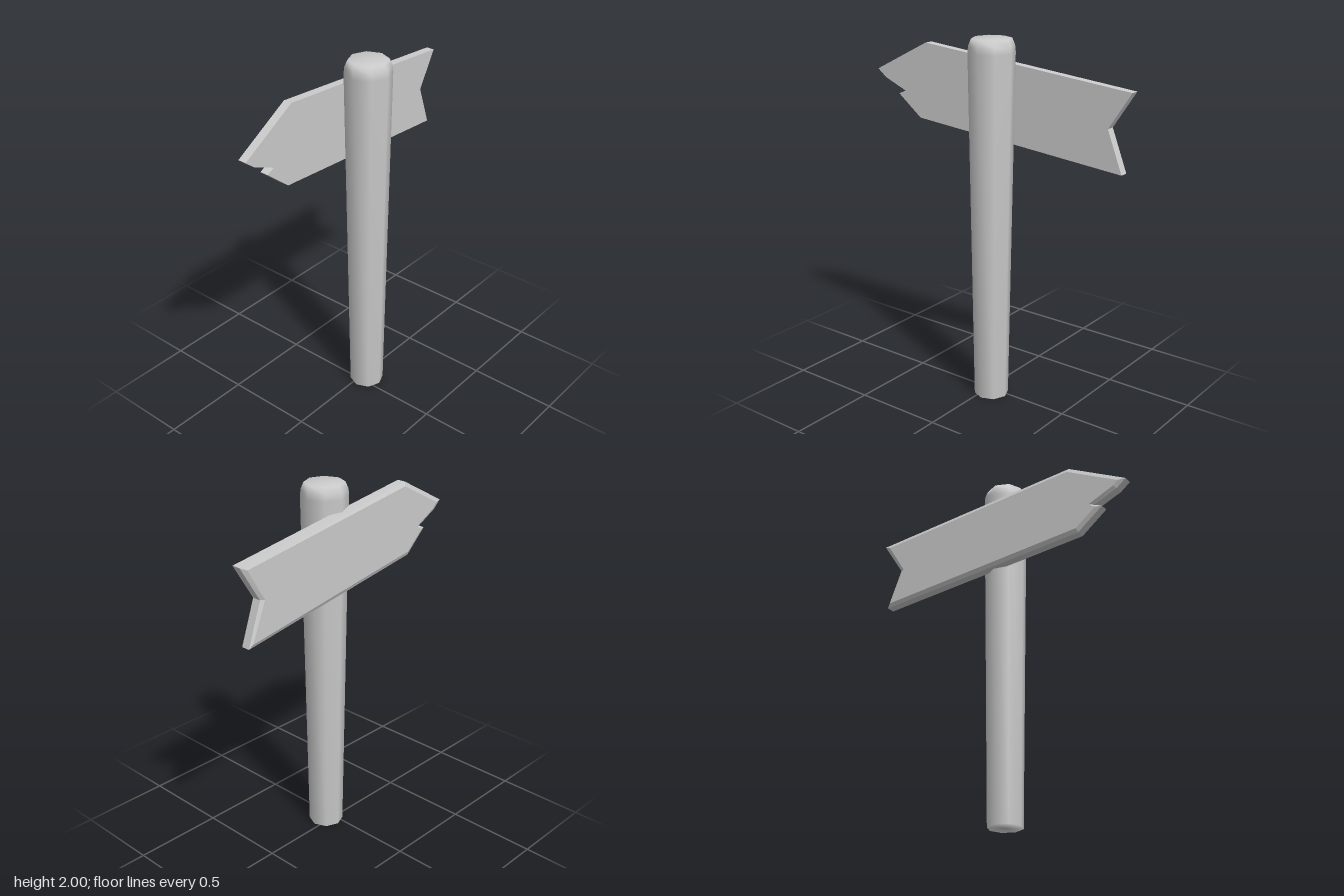
import * as THREE from 'three';

const material = () => new THREE.MeshStandardMaterial({ color: 0xcccccc });
const toPoints = (list) => list.map(([x, y]) => new THREE.Vector2(x, y));

// Eight-sided wooden post, widening upwards, with a rounded-off top
function createPost() {
  const profile = toPoints([[0, 0], [0.095, 0], [0.124, 1.93], [0.12, 1.965], [0.105, 2], [0, 2]]);
  const post = new THREE.Mesh(new THREE.LatheGeometry(profile, 8), material());
  post.position.set(0.04, 0, 0.03);
  post.name = 'post';
  return post;
}

// Slanted arrow board: front ring, full-size rear ring and a smaller bevelled back
function createBoard() {
  // Counter-clockwise from the arrow tip
  const outline = toPoints([
    [-0.79, 1.745], [-0.735, 1.7], [-0.6, 1.64], [-0.645, 1.62], [-0.5, 1.5],
    [0.745, 1.37], [0.66, 1.595], [0.785, 1.79], [-0.455, 1.92],
  ]);
  const inset = toPoints([
    [-0.745, 1.742], [-0.72, 1.715], [-0.57, 1.645], [-0.61, 1.62], [-0.492, 1.523],
    [0.725, 1.393], [0.636, 1.593], [0.745, 1.77], [-0.448, 1.897],
  ]);
  const ring = (points, depth) =>
    points.map((p) => new THREE.Vector3(p.x, p.y, -0.06 - 0.0625 * p.x - depth));
  const rings = [ring(outline, 0), ring(outline, 0.047), ring(inset, 0.058)];
  const corners = [];

  // Front and back faces
  for (const [a, b, c] of THREE.ShapeUtils.triangulateShape(outline, [])) {
    corners.push(rings[0][a], rings[0][b], rings[0][c]);
  }
  for (const [a, b, c] of THREE.ShapeUtils.triangulateShape(inset, [])) {
    corners.push(rings[2][a], rings[2][c], rings[2][b]);
  }
  // Edge walls and back bevel
  for (let r = 0; r < 2; r++) {
    const front = rings[r];
    const rear = rings[r + 1];
    for (let i = 0; i < outline.length; i++) {
      const j = (i + 1) % outline.length;
      corners.push(rear[i], rear[j], front[j], rear[i], front[j], front[i]);
    }
  }
  const geometry = new THREE.BufferGeometry().setFromPoints(corners);
  geometry.computeVertexNormals();
  const board = new THREE.Mesh(geometry, material());
  board.name = 'arrowBoard';
  return board;
}

export function createModel() {
  const group = new THREE.Group();
  group.name = 'signpost';
  group.add(createPost(), createBoard());
  return group;
}
